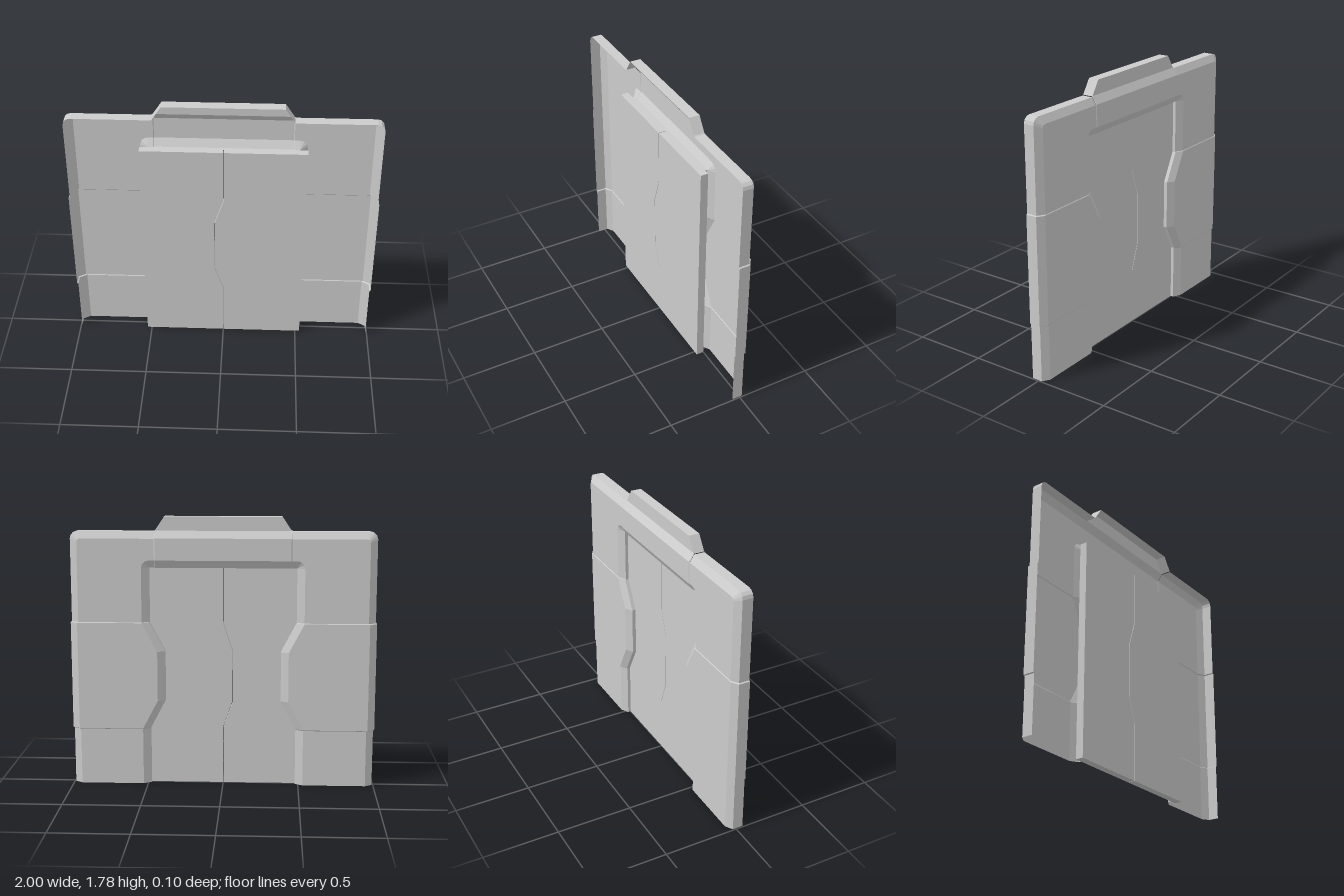
import * as THREE from 'three';

const material = new THREE.MeshStandardMaterial({ color: 0xcccccc, flatShading: true, side: THREE.DoubleSide });

// Skin a list of cross-sections, each a list of [x, y, z]
function loft(name, sections, side = 1) {
  const pos = [];
  const put = (...pts) => {
    if (side < 0) pts.reverse();
    pts.forEach(([x, y, z]) => pos.push(x * side, y, z));
  };
  for (let i = 0; i < sections.length - 1; i++) {
    const a = sections[i], b = sections[i + 1];
    for (let j = 0; j < a.length - 1; j++) {
      put(a[j], a[j + 1], b[j]);
      put(a[j + 1], b[j + 1], b[j]);
    }
  }
  const g = new THREE.BufferGeometry();
  g.setAttribute('position', new THREE.Float32BufferAttribute(pos, 3));
  g.computeVertexNormals();
  const mesh = new THREE.Mesh(g, material);
  mesh.name = name;
  return mesh;
}

// Contours of the frame from outer wall to door jamb: half width, height, corner radius, depth
const rings = [
  [0.992, 1.685, 0.045, 0.05],
  [0.992, 1.685, 0.045, -0.02],
  [0.945, 1.64, 0.02, -0.05],
  [0.53, 1.5, 0.05, -0.05],
  [0.48, 1.45, 0, -0.02],
  [0.48, 1.45, 0, 0],
];

// Level section of one frame side; "proud" lifts it, "reach" extends it over the doorway
const level = (y, proud = 0, reach = 0) => rings.map(([w, , , z], i) => [
  i < 3 ? w + proud * 0.008 : w - reach, y, i > 0 && i < 5 ? z - proud * 0.004 : z,
]);

// Section across the rounded top corner
const corner = (t) => rings.map(([w, h, r, z]) => [
  w - r + r * Math.cos(t), h - r + r * Math.sin(t), z,
]);

// Section of the header at one x
const headerSection = (x, top, proud) => [
  [top, 0.05], [top, -0.02], [1.69, -0.02], [1.643, -0.05 - proud],
  [1.5, -0.05 - proud], [1.45, -0.02 - proud], [1.45, 0],
].map(([y, z]) => [x, y, z]);

// Door leaf with a stepped seam
function doorLeaf(name, edge, gap) {
  const seam = [[0, 0], [0, 0.38], [-0.06, 0.55], [-0.06, 0.91], [0, 1.09], [0, 1.46]];
  const shape = new THREE.Shape([
    ...seam.map(([x, y]) => new THREE.Vector2(x + gap, y)),
    new THREE.Vector2(edge, 1.46), new THREE.Vector2(edge, 0),
  ]);
  const g = new THREE.ExtrudeGeometry(shape, { depth: 0.05, bevelEnabled: false });
  const mesh = new THREE.Mesh(g, material);
  mesh.name = name;
  return mesh;
}

export function createModel() {
  const model = new THREE.Group();
  model.name = 'doorway';

  for (const [label, s] of [['left', 1], ['right', -1]]) {
    // Lower and upper frame
    model.add(loft(label + 'LowerFrame', [level(0), level(0.375)], s));
    const upper = [level(1.095)];
    for (let i = 0; i <= 3; i++) upper.push(corner((i / 3) * Math.PI / 2));
    upper.push(rings.map(([, h, , z]) => [0.445, h, z]));
    model.add(loft(label + 'UpperFrame', upper, s));

    // Raised side panel reaching into the doorway
    model.add(loft(label + 'SidePanel', [
      level(0.375), level(0.38, 1), level(0.57, 1, 0.1),
      level(0.9, 1, 0.1), level(1.09, 1), level(1.095),
    ], s));
  }

  // Raised header with sloping ends
  model.add(loft('header', [
    headerSection(0.445, 1.69, 0), headerSection(0.44, 1.69, 0.004),
    headerSection(0.38, 1.78, 0.004), headerSection(-0.38, 1.78, 0.004),
    headerSection(-0.44, 1.69, 0.004), headerSection(-0.445, 1.69, 0),
  ]));

  // Sliding door leaves
  model.add(doorLeaf('leftDoorLeaf', 0.53, 0.002));
  model.add(doorLeaf('rightDoorLeaf', -0.53, -0.002));

  return model;
}
